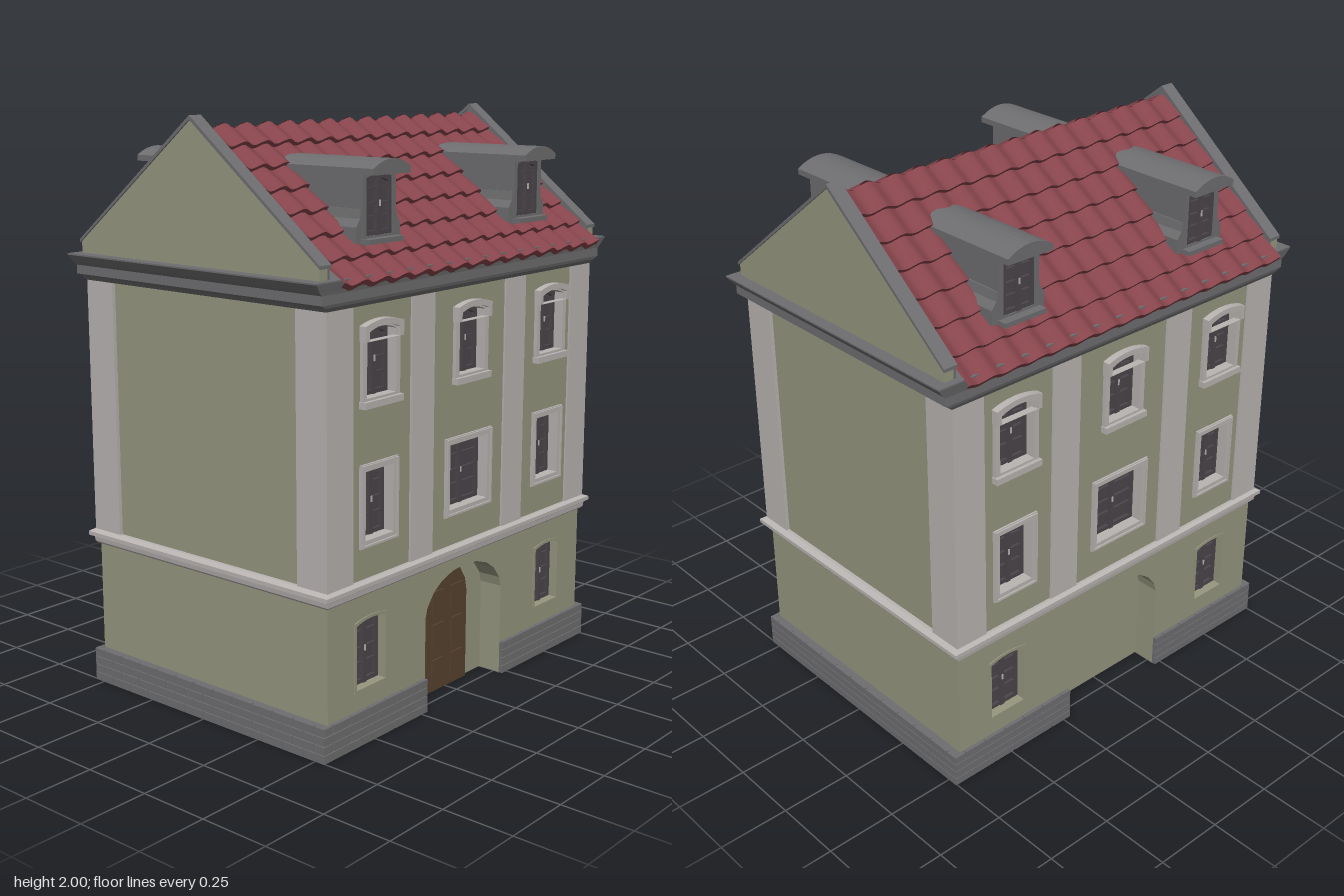
import * as THREE from 'three';

const mat = (name, color, side = THREE.FrontSide) => {
  const m = new THREE.MeshStandardMaterial({ color, side });
  m.name = name;
  return m;
};

export function createModel() {
  const plaster = mat('green plaster', 0x96967f);
  const trim = mat('pale trim', 0xb9b4b2);
  const stone = mat('grey stone', 0x6e6e70);
  const tile = mat('red roof tile', 0x86444b, THREE.DoubleSide);
  const pane = mat('dark window', 0x4a454a);
  const wood = mat('brown door wood', 0x58432f);

  const house = new THREE.Group();
  house.name = 'townHouse';

  const add = (parent, name, geo, material, x = 0, y = 0, z = 0) => {
    const m = new THREE.Mesh(geo, material);
    m.name = name;
    m.position.set(x, y, z);
    parent.add(m);
    return m;
  };
  // box given by its limits
  const box = (parent, name, material, x0, x1, y0, y1, z0, z1) =>
    add(parent, name, new THREE.BoxGeometry(x1 - x0, y1 - y0, z1 - z0), material,
      (x0 + x1) / 2, (y0 + y1) / 2, (z0 + z1) / 2);
  const poly = pts => new THREE.Shape(pts.map(p => new THREE.Vector2(...p)));
  const slab = (shape, z0, z1) => new THREE.ExtrudeGeometry(shape,
    { depth: z1 - z0, bevelEnabled: false, curveSegments: 8 }).translate(0, 0, z0);

  // rectangle with a shallow arched head
  const opening = (cx, hw, y0, y1, rise, grow = 0) => {
    const s = new THREE.Shape();
    const w = hw + grow, b = y0 - grow, t = y1 + grow;
    s.moveTo(cx - w, b);
    s.lineTo(cx + w, b);
    s.lineTo(cx + w, t - rise);
    if (rise) s.quadraticCurveTo(cx, t + rise, cx - w, t - rise);
    else s.lineTo(cx - w, t);
    s.closePath();
    return s;
  };

  // rectangular moulding around the house from [half x, half z, y] sections
  const moulding = (name, sections, material) => {
    const pos = [];
    const ring = ([a, b, y]) => [[a, y, b], [a, y, -b], [-a, y, -b], [-a, y, b]];
    const quad = (a, b, c, d) => pos.push(...a, ...b, ...c, ...a, ...c, ...d);
    for (let i = 0; i < sections.length - 1; i++) {
      const lo = ring(sections[i]), hi = ring(sections[i + 1]);
      for (let k = 0; k < 4; k++) quad(lo[k], lo[(k + 1) % 4], hi[(k + 1) % 4], hi[k]);
    }
    quad(...ring(sections[sections.length - 1]));
    quad(...ring(sections[0]).reverse());
    const g = new THREE.BufferGeometry();
    g.setAttribute('position', new THREE.Float32BufferAttribute(pos, 3));
    g.computeVertexNormals();
    add(house, name, g, material);
  };

  // dark casement with glazing bars and a small pale fitting
  const casement = (parent, cx, hw, y0, y1, rise, z) => {
    add(parent, 'windowPane', slab(opening(cx, hw, y0, y1, rise, 0.006), z - 0.008, z), pane);
    const ring = opening(cx, hw, y0, y1, rise);
    ring.holes.push(opening(cx, hw - 0.014, y0 + 0.014, y1 - 0.014, rise));
    add(parent, 'casementFrame', slab(ring, z, z + 0.012), pane);
    const top = y1 - 0.008, mid = y0 + (y1 - y0) * 0.52;
    box(parent, 'mullion', pane, cx - 0.009, cx + 0.009, y0, top, z, z + 0.016);
    for (const f of [0.3, 0.52, 0.76]) {
      const y = y0 + (y1 - y0) * f;
      box(parent, 'glazingBar', pane, cx - hw, cx + hw, y - 0.004, y + 0.004, z, z + 0.01);
    }
    box(parent, 'windowCatch', trim, cx - 0.003, cx + 0.003, mid - 0.01, mid + 0.01, z + 0.016, z + 0.019);
  };

  // raised surround lining the opening
  const surround = (parent, cx, hw, y0, y1, rise, width, z0, z1, material) => {
    const s = opening(cx, hw + width, y0 - width, y1 + width, rise);
    s.holes.push(opening(cx, hw, y0, y1, rise));
    add(parent, 'windowSurround', slab(s, z0, z1), material);
  };

  // plinth with entrance notches, then rows of bricks
  const notch = [[-0.745, 0.53], [-0.22, 0.53], [-0.22, 0.42], [0.22, 0.42], [0.22, 0.53], [0.745, 0.53]];
  const plan = poly([...notch, ...notch.map(([x, y]) => [-x, -y])]);
  add(house, 'plinth', slab(plan, 0, 0.116).rotateX(-Math.PI / 2), stone);
  const bricks = (a0, a1, place) => {
    for (let r = 0; r < 4; r++) {
      const n = Math.round((a1 - a0) / 0.088), w = (a1 - a0) / n;
      for (let i = 0; i <= n; i++) {
        const s = Math.max(a0, a0 + (i - (r % 2) / 2) * w);
        const e = Math.min(a1, a0 + (i + 1 - (r % 2) / 2) * w);
        if (e - s > 0.01) place(s + 0.002, e - 0.002, r * 0.03 + 0.001, r * 0.03 + 0.028);
      }
    }
  };
  for (const s of [-1, 1]) {
    bricks(-0.54, 0.54, (a, b, y0, y1) =>
      box(house, 'plinthBrick', stone, s * 0.748 - 0.007, s * 0.748 + 0.007, y0, y1, a, b));
    for (const [a0, a1] of [[-0.755, -0.22], [0.22, 0.755]])
      bricks(a0, a1, (a, b, y0, y1) =>
        box(house, 'plinthBrick', stone, a, b, y0, y1, s * 0.533 - 0.007, s * 0.533 + 0.007));
  }

  // solid core and mouldings
  box(house, 'wallCore', plaster, -0.722, 0.722, 0.003, 1.48, -0.44, 0.44);
  moulding('stringCourse', [[0.73, 0.532, 0.505], [0.735, 0.54, 0.512], [0.738, 0.542, 0.53],
    [0.755, 0.552, 0.536], [0.755, 0.552, 0.55], [0.735, 0.54, 0.558]], trim);
  moulding('cornice', [[0.738, 0.538, 1.437], [0.748, 0.545, 1.45], [0.768, 0.548, 1.46],
    [0.768, 0.548, 1.49], [0.78, 0.55, 1.5], [0.8, 0.556, 1.526], [0.8, 0.556, 1.531]], stone);
  for (const sx of [-1, 1]) for (const sz of [-1, 1])
    add(house, 'cornerPilaster', new THREE.BoxGeometry(0.125, 0.89, 0.125), trim, sx * 0.6725, 1.0, sz * 0.474);

  // windows: centre x, half width, bottom, top, arch rise
  const upper = [-0.48, 0, 0.48].map(x => [x, 0.072, 1.145, 1.365, 0.016]);
  const middle = [[-0.48, 0.07, 0.685, 0.91, 0], [0, 0.107, 0.685, 0.91, 0], [0.48, 0.07, 0.685, 0.91, 0]];
  const ground = [-0.51, 0.51].map(x => [x, 0.073, 0.19, 0.42, 0.012]);
  const arch = [[0.22, 0], [0.22, 0.33], [0.21, 0.365], [0.175, 0.41], [0.13, 0.44], [0.07, 0.46], [0, 0.467]];
  const archLoop = [...arch.map(([x, y]) => [-x, y]), ...arch.slice(0, -1).reverse()];

  const buildFace = name => {
    const face = new THREE.Group();
    face.name = name;
    const lower = poly([[-0.722, 0.003], ...archLoop.map(([x, y]) => [x, Math.max(y, 0.003)]),
      [0.722, 0.003], [0.722, 0.53], [-0.722, 0.53]]);
    ground.forEach(w => lower.holes.push(opening(...w)));
    add(face, 'groundFloorWall', slab(lower, 0.44, 0.526), plaster);
    const storey = poly([[-0.722, 0.53], [0.722, 0.53], [0.722, 1.46], [-0.722, 1.46]]);
    [...upper, ...middle].forEach(w => storey.holes.push(opening(...w, 0.005)));
    add(face, 'upperFloorWall', slab(storey, 0.44, 0.53), plaster);
    for (const s of [-1, 1]) box(face, 'pilaster', trim, s * 0.26 - 0.06, s * 0.26 + 0.06, 0.555, 1.445, 0.525, 0.537);

    for (const w of upper) {
      const [x, hw, y0, y1, rise] = w;
      casement(face, ...w, 0.495);
      surround(face, ...w, 0.02, 0.48, 0.543, trim);
      box(face, 'windowSill', trim, x - 0.096, x + 0.096, y0 - 0.03, y0 - 0.008, 0.528, 0.556);
      const hood = opening(x, hw + 0.022, y1 - 0.04, y1 + 0.025, rise);
      hood.holes.push(opening(x, hw + 0.004, y1 - 0.039, y1 + 0.006, rise));
      add(face, 'windowHood', slab(hood, 0.53, 0.556), trim);
    }
    for (const w of middle) {
      casement(face, ...w, 0.485);
      surround(face, ...w, 0.024, 0.47, 0.537, trim);
      surround(face, w[0], w[1] + 0.014, w[2] - 0.014, w[3] + 0.014, 0, 0.007, 0.53, 0.543, trim);
    }
    for (const w of ground) {
      casement(face, ...w, 0.485);
      surround(face, ...w, 0.01, 0.52, 0.53, plaster);
    }

    // dormers
    for (const x of [-0.41, 0.41]) {
      const d = new THREE.Group();
      d.name = 'dormer';
      d.position.x = x;
      face.add(d);
      box(d, 'dormerBody', stone, -0.08, 0.08, 1.6, 1.838, 0.15, 0.455);
      surround(d, 0, 0.064, 1.635, 1.825, 0.012, 0.018, 0.45, 0.474, stone);
      casement(d, 0, 0.064, 1.635, 1.825, 0.012, 0.458);
      const roof = new THREE.Shape();
      roof.moveTo(-0.092, 1.825);
      roof.lineTo(0.092, 1.825);
      roof.lineTo(0.092, 1.845);
      roof.quadraticCurveTo(0, 1.902, -0.092, 1.845);
      roof.closePath();
      add(d, 'dormerRoof', slab(roof, 0.125, 0.525), stone);
      for (const s of [-1, 1]) {
        const c = [[0.07, 1.615], [0.108, 1.615], [0.108, 1.665], [0.09, 1.69], [0.085, 1.72], [0.07, 1.72]];
        add(d, 'dormerCheek', slab(poly(c.map(([a, b]) => [s * a, b])), 0.33, 0.47), stone);
      }
      box(d, 'dormerSill', stone, -0.085, 0.085, 1.612, 1.628, 0.45, 0.505);
    }

    // rows of wavy tiles on one roof slope
    const rows = 7, cols = 14, seg = 8, nx = cols * seg, pos = [], idx = [];
    const point = (i, s, lift) => {
      const h = lift + 0.009 * Math.cos(i / seg * Math.PI * 2);
      pos.push(-0.712 + 1.424 * i / nx, 1.507 + 0.455 * s + h * 0.787, 0.572 * (1 - s) + h * 0.617);
    };
    for (let r = 0; r < rows; r++) {
      const lines = [[r, -0.004], [r, 0.016], [r, 0.016], [r + 1, 0.002]];
      const base = pos.length / 3;
      for (const [k, lift] of lines) for (let i = 0; i <= nx; i++) point(i, k / rows, lift);
      for (const l of [0, 2]) for (let i = 0; i < nx; i++) {
        const a = base + l * (nx + 1) + i, b = a + nx + 1;
        idx.push(a, a + 1, b + 1, a, b + 1, b);
      }
    }
    const g = new THREE.BufferGeometry();
    g.setAttribute('position', new THREE.Float32BufferAttribute(pos, 3));
    g.setIndex(idx);
    g.computeVertexNormals();
    add(face, 'roofTiles', g, tile);
    house.add(face);
    return face;
  };
  const front = buildFace('frontFace');
  buildFace('backFace').rotation.y = Math.PI;

  // panelled front door in the niche
  const leaf = [[0.115, 0.003], [0.115, 0.33], [0.105, 0.375], [0.075, 0.42], [0.035, 0.445], [0, 0.462]];
  add(front, 'door', slab(poly([...leaf.map(([x, y]) => [-x, y]), ...leaf.slice(0, -1).reverse()]), 0.438, 0.452), wood);
  for (const s of [-1, 1]) for (const [y0, y1] of [[0.03, 0.12], [0.15, 0.25], [0.28, 0.37]])
    box(front, 'doorPanel', wood, s * 0.055 - 0.033, s * 0.055 + 0.033, y0, y1, 0.45, 0.458);

  // gables with grey inner faces and copings
  const gable = poly([[-0.53, 1.53], [0.53, 1.53], [0.53, 1.57], [0, 1.99], [-0.53, 1.57]]);
  const coping = poly([[-0.535, 1.566], [0, 1.986], [0.535, 1.566], [0.535, 1.577], [0, 2], [-0.535, 1.577]]);
  for (const s of [-1, 1]) {
    const wall = (name, shape, x0, x1, m) => add(house, name,
      slab(shape, Math.min(s * x0, s * x1), Math.max(s * x0, s * x1)).rotateY(Math.PI / 2), m);
    wall('gableInnerFace', gable, 0.712, 0.722, stone);
    wall('gableWall', gable, 0.722, 0.757, plaster);
    wall('gableCoping', coping, 0.71, 0.762, stone);
  }
  return house;
}
